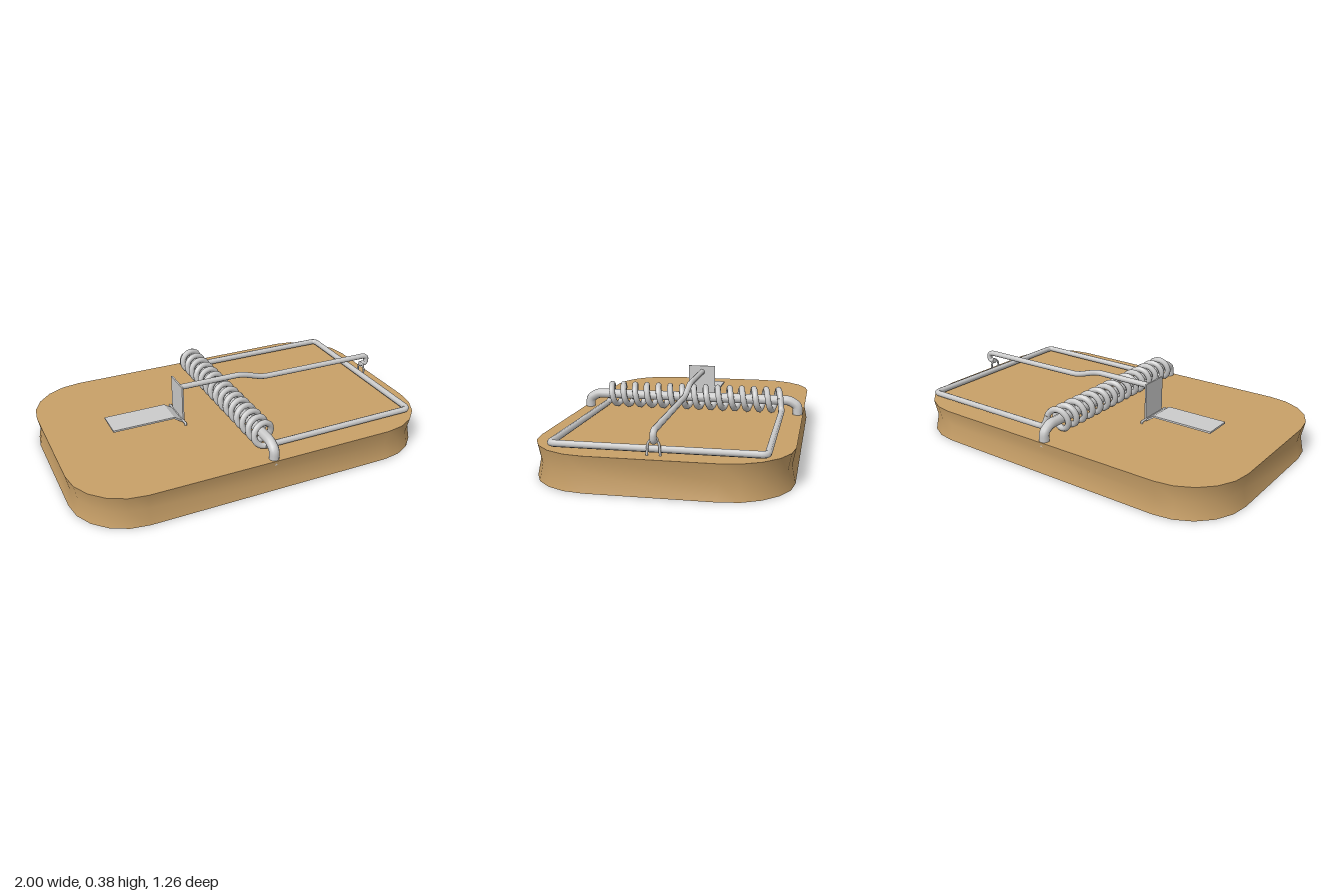
import * as THREE from 'three';

const V = (x, y, z) => new THREE.Vector3(x, y, z);
const wood = new THREE.MeshStandardMaterial({ color: 0xc8a068 });
const steel = new THREE.MeshStandardMaterial({ color: 0xcccccc });

function mesh(name, geometry, material = steel) {
  const m = new THREE.Mesh(geometry, material);
  m.name = name;
  return m;
}

// Capped tube along a curve
function rod(name, curve, radius, segments, sides = 10) {
  const group = new THREE.Group();
  group.name = name;
  group.add(mesh(name + 'Wire', new THREE.TubeGeometry(curve, segments, radius, sides)));
  for (const [t, dir] of [[0, -1], [1, 1]]) {
    const cap = mesh(name + 'End', new THREE.CircleGeometry(radius, sides));
    cap.position.copy(curve.getPointAt(t));
    cap.quaternion.setFromUnitVectors(V(0, 0, 1), curve.getTangentAt(t).multiplyScalar(dir));
    group.add(cap);
  }
  return group;
}

// Straight runs joined by rounded bends
function bentPath(points, bend) {
  const path = new THREE.CurvePath();
  let from = points[0];
  for (let i = 1; i < points.length - 1; i++) {
    const p = points[i];
    const toward = (q) => {
      const d = q.clone().sub(p);
      return p.clone().addScaledVector(d.normalize(), Math.min(bend, p.distanceTo(q) * 0.45));
    };
    const a = toward(points[i - 1]), b = toward(points[i + 1]);
    path.add(new THREE.LineCurve3(from, a));
    path.add(new THREE.QuadraticBezierCurve3(a, p, b));
    from = b;
  }
  path.add(new THREE.LineCurve3(from, points[points.length - 1]));
  return path;
}

// Rounded board with a shallow waist around its edge
function board() {
  const group = new THREE.Group();
  group.name = 'board';
  const outline = (inset) => {
    const pts = [], r = 0.32, steps = 5;
    for (let c = 0; c < 4; c++) {
      const sx = c === 0 || c === 3 ? 1 : -1, sz = c < 2 ? 1 : -1;
      for (let i = 0; i <= steps; i++) {
        const a = (c + i / steps) * Math.PI / 2;
        pts.push(new THREE.Vector2(
          sx * (1 - r) + (r - inset) * Math.cos(a),
          sz * (0.628 - r) + (r - inset) * Math.sin(a)));
      }
    }
    return pts;
  };
  const pos = [], index = [];
  const rings = [[0, 0], [0.088, 0.018], [0.176, 0]];
  const n = outline(0).length;
  rings.forEach(([y, inset], k) => {
    outline(inset).forEach((p, i) => {
      pos.push(p.x, y, p.y);
      if (k === rings.length - 1) return;
      const a = k * n + i, b = k * n + (i + 1) % n;
      index.push(a, a + n, b + n, a, b + n, b);
    });
  });
  const side = new THREE.BufferGeometry();
  side.setAttribute('position', new THREE.Float32BufferAttribute(pos, 3));
  side.setIndex(index);
  side.computeVertexNormals();
  group.add(mesh('boardEdge', side, wood));
  const face = () => new THREE.ShapeGeometry(new THREE.Shape(outline(0)));
  group.add(mesh('boardTop', face().rotateX(-Math.PI / 2).translate(0, 0.176, 0), wood));
  group.add(mesh('boardBottom', face().rotateX(Math.PI / 2), wood));
  return group;
}

export function createModel() {
  const model = new THREE.Group();
  model.name = 'springTrap';
  model.add(board());

  // Thick axle staple that carries the spring
  const axleY = 0.253;
  model.add(rod('axle', bentPath([
    V(0, 0.15, -0.598), V(0, 0.225, -0.598), V(0, axleY, -0.55),
    V(0, axleY, 0.55), V(0, 0.225, 0.598), V(0, 0.15, 0.598),
  ], 0.02), 0.027, 160));

  // Coil spring
  const coil = [], a0 = 0.3, a1 = Math.PI * 29.5, steps = 300;
  for (let i = 0; i <= steps; i++) {
    const a = a0 + (a1 - a0) * i / steps;
    coil.push(V(0.057 * Math.cos(a), axleY + 0.057 * Math.sin(a), -0.505 + 1.005 * i / steps));
  }
  model.add(rod('spring', new THREE.CatmullRomCurve3(coil), 0.017, 450, 8));

  // Striking bar, continuing from both ends of the spring
  model.add(rod('strikingBar', bentPath([
    V(0.053, 0.27, -0.505), V(0.075, 0.203, -0.514), V(0.908, 0.2, -0.514),
    V(0.902, 0.2, 0.5), V(0, 0.196, 0.5),
  ], 0.03), 0.017, 260, 8));

  // Holding arm with a hooked end
  model.add(rod('holdingArm', bentPath([
    V(-0.275, 0.349, -0.012), V(0.11, 0.349, -0.012), V(0.25, 0.305, -0.012),
    V(0.965, 0.298, -0.012), V(0.965, 0.248, -0.012), V(0.925, 0.25, -0.012),
  ], 0.04), 0.016, 180));

  // Small staple anchoring the hook
  model.add(rod('hookStaple', bentPath([
    V(0.93, 0.16, 0.027), V(0.93, 0.235, 0.022), V(0.93, 0.262, -0.005),
    V(0.93, 0.235, -0.032), V(0.93, 0.16, -0.037),
  ], 0.015), 0.006, 60, 6));

  // Bait pedal: flat tongue, sloped neck and upright catch from one folded strip
  const strip = new THREE.Shape([
    [-0.675, 0.208], [-0.333, 0.208], [-0.286, 0.178], [-0.272, 0.178], [-0.272, 0.385],
    [-0.281, 0.385], [-0.281, 0.187], [-0.33, 0.218], [-0.675, 0.218],
  ].map(([x, y]) => new THREE.Vector2(x, y)));
  const pedal = new THREE.ExtrudeGeometry(strip, { depth: 0.158, bevelEnabled: false });
  model.add(mesh('baitPedal', pedal.translate(0, 0, -0.09)));

  // Hinge pin under the pedal, ends driven into the board
  model.add(rod('hingePin', bentPath([
    V(-0.28, 0.16, -0.128), V(-0.28, 0.186, -0.128),
    V(-0.28, 0.186, 0.106), V(-0.28, 0.16, 0.106),
  ], 0.008), 0.007, 80, 6));

  return model;
}
